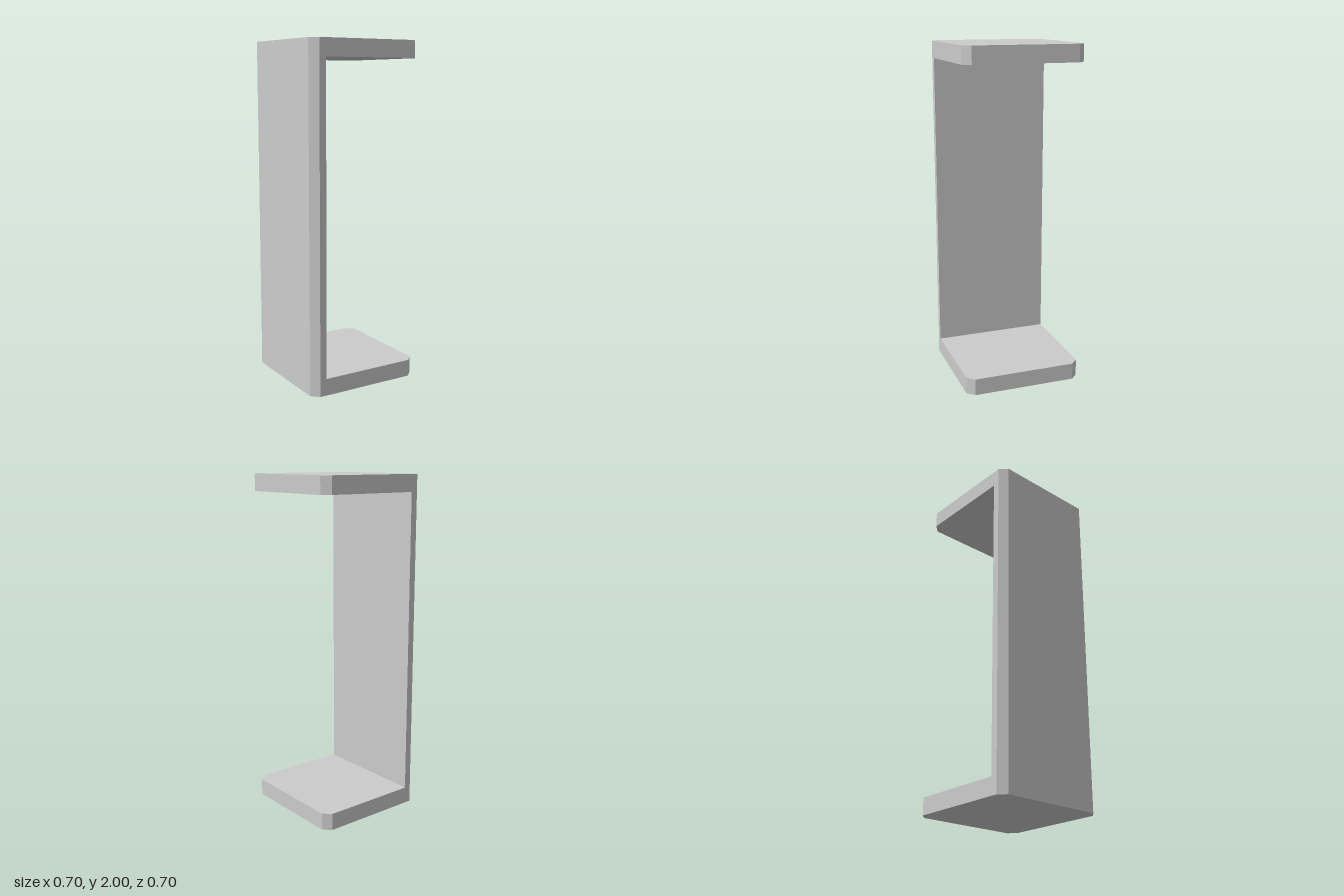
import * as THREE from 'three';

const HALF = 0.352;     // half width and half depth
const CHAMFER = 0.043;  // cut on the four vertical corners
const HEIGHT = 2;
const PLATE = 0.1;      // thickness of the top and bottom plates
const INNER = -0.268;   // inner face of the upright wall

export function createModel() {
  const group = new THREE.Group();
  group.name = 'bracket';

  // C-shaped profile: bottom plate, upright wall on the -x side, top plate
  const profile = new THREE.Shape([
    [-HALF, 0], [HALF, 0], [HALF, PLATE], [INNER, PLATE],
    [INNER, HEIGHT - PLATE], [HALF, HEIGHT - PLATE], [HALF, HEIGHT], [-HALF, HEIGHT],
  ].map(([x, y]) => new THREE.Vector2(x, y)));
  const geometry = new THREE.ExtrudeGeometry(profile, { depth: 3, steps: 3, bevelEnabled: false });

  // Place the four layers in z and pull the outer corners of the end layers in
  const layers = [-HALF, -HALF + CHAMFER, HALF - CHAMFER, HALF];
  const pos = geometry.attributes.position;
  const limit = HALF - CHAMFER;
  for (let i = 0; i < pos.count; i++) {
    const layer = Math.round(pos.getZ(i));
    pos.setZ(i, layers[layer]);
    if (layer === 0 || layer === 3) {
      pos.setX(i, THREE.MathUtils.clamp(pos.getX(i), -limit, limit));
    }
  }
  geometry.computeVertexNormals();

  const material = new THREE.MeshStandardMaterial({ color: 0xcccccc, flatShading: true });
  const body = new THREE.Mesh(geometry, material);
  body.name = 'channelBody';
  group.add(body);
  return group;
}
